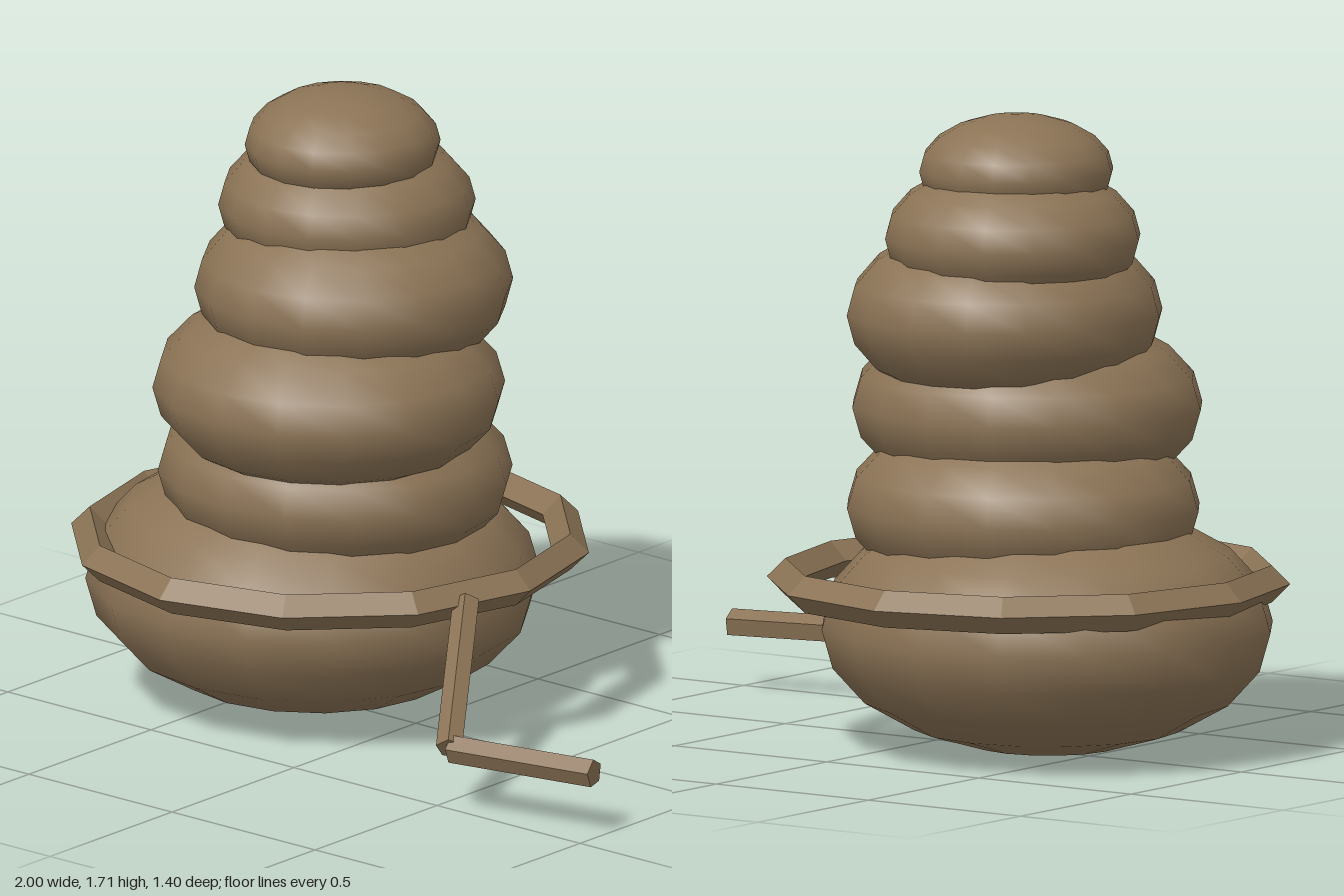
import * as THREE from 'three';

export function createModel() {
  const group = new THREE.Group();
  const clay = new THREE.MeshStandardMaterial({ color: 0x8b7355 });
  clay.name = 'clayBrown';

  const add = (geometry, name) => {
    const mesh = new THREE.Mesh(geometry, clay);
    mesh.name = name;
    group.add(mesh);
    return mesh;
  };

  // Faceted copy of a geometry, so one material serves smooth and flat parts
  const faceted = (geometry) => {
    const flat = geometry.toNonIndexed();
    flat.computeVertexNormals();
    return flat;
  };

  // Stacked body lobes: centre x, y, z, then radii x, y, z
  const lobes = [
    [-0.365, 0.345, -0.005, 0.615, 0.34, 0.597],
    [-0.285, 0.66, -0.003, 0.485, 0.26, 0.46],
    [-0.245, 0.92, 0.07, 0.478, 0.26, 0.462],
    [-0.243, 1.18, -0.03, 0.42, 0.25, 0.432],
    [-0.288, 1.39, -0.055, 0.345, 0.2, 0.342],
    [-0.28, 1.565, -0.028, 0.26, 0.15, 0.263],
  ];
  lobes.forEach(([x, y, z, rx, ry, rz], i) => {
    const lobe = add(new THREE.SphereGeometry(1, 16, 10), `bodyLobe${i + 1}`);
    lobe.position.set(x, y, z);
    lobe.scale.set(rx, ry, rz);
  });

  // Twelve-sided hoop with a diamond section
  const hoop = add(faceted(new THREE.TorusGeometry(0.65, 0.05, 4, 12)), 'hoop');
  hoop.rotation.x = Math.PI / 2;
  hoop.position.set(-0.3, 0.46, 0);

  // Five-sided rods of the bent handle
  const rod = (from, to, radius, name) => {
    const a = new THREE.Vector3(...from);
    const b = new THREE.Vector3(...to);
    const dir = b.clone().sub(a);
    const mesh = add(faceted(new THREE.CylinderGeometry(radius, radius, dir.length(), 5)), name);
    mesh.position.copy(a).add(b).multiplyScalar(0.5);
    mesh.quaternion.setFromUnitVectors(new THREE.Vector3(0, 1, 0), dir.normalize());
  };
  rod([0.33, 0.46, 0.18], [0.565, 0.185, 0.525], 0.037, 'handleArm');
  rod([0.565, 0.182, 0.515], [0.99, 0.182, 0.43], 0.039, 'handleGrip');

  return group;
}
